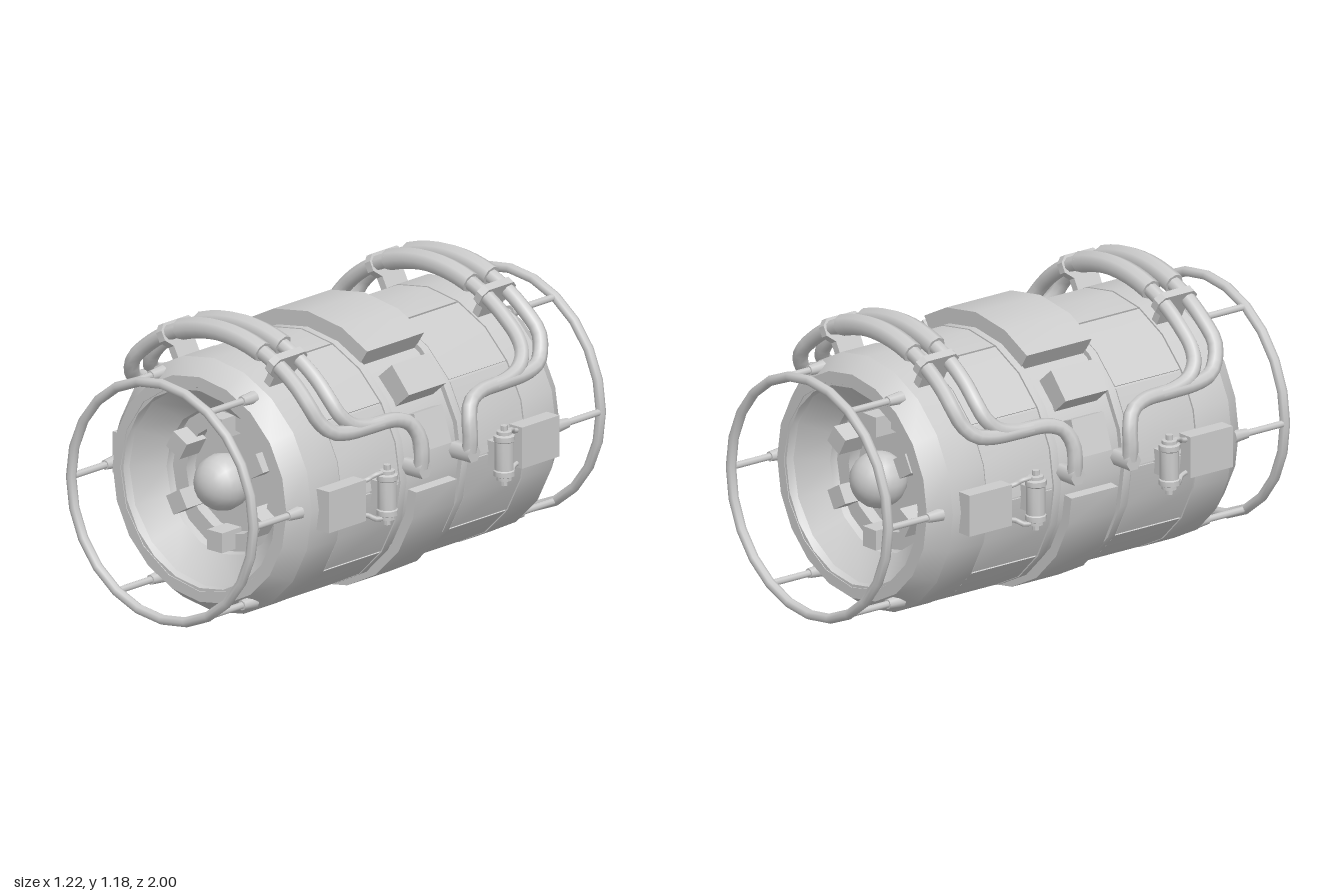
import * as THREE from 'three';
import { toCreasedNormals } from 'three/addons/utils/BufferGeometryUtils.js';

const mat = new THREE.MeshStandardMaterial({ color: 0xcccccc });
const SIDES = 20, STEP = (Math.PI * 2) / SIDES, DEG = Math.PI / 180;

function add(parent, name, geo, x = 0, y = 0, z = 0) {
  const m = new THREE.Mesh(geo, mat);
  m.name = name;
  m.position.set(x, y, z);
  parent.add(m);
  return m;
}

// Lathe turned so that its axis runs along z; profile points are [radius, z]
function latheZ(profile, sides) {
  const g = new THREE.LatheGeometry(profile.map(p => new THREE.Vector2(...p)), sides);
  g.rotateX(Math.PI / 2);
  return toCreasedNormals(g, 0.45);
}

// Curved plate following the faceted hull, angles measured from the top
function arcPlate(r0, r1, a0, a1, z0, z1) {
  const angles = [a0];
  for (let k = Math.ceil(a0 / STEP + 1e-4); k * STEP < a1 - 1e-4; k++) angles.push(k * STEP);
  angles.push(a1);
  const at = (r, a) => {
    const d = a - (Math.floor(a / STEP + 1e-6) + 0.5) * STEP;
    const q = r * Math.cos(STEP / 2) / Math.cos(d);
    return new THREE.Vector2(q * Math.sin(a), q * Math.cos(a));
  };
  const pts = [...angles.map(a => at(r1, a)), ...angles.reverse().map(a => at(r0, a))];
  const g = new THREE.ExtrudeGeometry(new THREE.Shape(pts), { depth: z1 - z0, bevelEnabled: false });
  return toCreasedNormals(g.translate(0, 0, z0), 0.45);
}

// Box set around the axis: width tangential, height radial
function polarBox(parent, name, r, a, w, h, d, z) {
  const m = add(parent, name, new THREE.BoxGeometry(w, h, d), r * Math.sin(a), r * Math.cos(a), z);
  m.rotation.z = -a;
  return m;
}

const cylZ = (r0, r1, len, n = 8) => new THREE.CylinderGeometry(r0, r1, len, n).rotateX(Math.PI / 2);
const arcPoint = (r, deg, z) => new THREE.Vector3(r * Math.sin(deg * DEG), r * Math.cos(deg * DEG), z);
const mirrorX = p => new THREE.Vector3(-p.x, p.y, p.z);

// Tube over the top: half is listed from the top down one side, then mirrored
function hoop(half, radius, segs) {
  const pts = [...half.slice(1).reverse().map(mirrorX), ...half];
  return new THREE.TubeGeometry(new THREE.CatmullRomCurve3(pts, false, 'centripetal'), segs, radius, 8);
}

function buildSideUnit(end, s) {
  // Side housing with a canister held by two arms
  add(end, 'sideHousing', new THREE.BoxGeometry(0.12, 0.165, 0.21), s * 0.5, 0, 0.545);
  const can = [[0, -0.12], [0.014, -0.12], [0.014, -0.1], [0.03, -0.098], [0.03, -0.085], [0.042, -0.08],
    [0.042, -0.06], [0.037, -0.056], [0.037, 0.056], [0.042, 0.06], [0.042, 0.08], [0.03, 0.085],
    [0.03, 0.098], [0.014, 0.1], [0.014, 0.12], [0, 0.12]].map(p => new THREE.Vector2(...p));
  add(end, 'canister', toCreasedNormals(new THREE.LatheGeometry(can, 10), 0.7), s * 0.568, 0, 0.33);
  for (const y of [-0.09, 0.09]) {
    const arm = new THREE.CatmullRomCurve3([[0.568, y, 0.33], [0.56, y, 0.38], [0.54, y * 0.8, 0.41], [0.53, y * 0.7, 0.46]]
      .map(p => new THREE.Vector3(s * p[0], p[1], p[2])));
    add(end, 'canisterArm', new THREE.TubeGeometry(arm, 8, 0.01, 6));
  }
  add(end, 'canisterMount', new THREE.BoxGeometry(0.08, 0.1, 0.04), s * 0.51, 0, 0.33);
  // Pipe fitting entering the hull
  const fit = add(end, 'pipeFitting', new THREE.CylinderGeometry(0.036, 0.036, 0.1, 6), s * 0.54, 0.055, 0.137);
  fit.rotation.z = Math.PI / 2;
}

function buildEnd() {
  const end = new THREE.Group();

  // Recessed mouth, hub and blocks
  add(end, 'mouth', latheZ([[0.408, 0.772], [0.395, 0.735], [0.29, 0.64], [0.285, 0.61],
    [0.215, 0.61], [0.215, 0.56], [0, 0.56]], 16));
  add(end, 'hubDome', new THREE.SphereGeometry(0.112, 16, 12).rotateX(Math.PI / 2), 0, 0, 0.64);
  for (let i = 0; i < 6; i++) polarBox(end, 'hubBlock', 0.228, i * 60 * DEG, 0.078, 0.08, 0.11, 0.63);

  // Guard ring on six struts
  add(end, 'guardRing', new THREE.TorusGeometry(0.472, 0.02, 8, 24), 0, 0, 0.98);
  for (let i = 0; i < 6; i++) {
    const x = 0.472 * Math.cos(i * 60 * DEG), y = 0.472 * Math.sin(i * 60 * DEG);
    add(end, 'strut', cylZ(0.014, 0.014, 0.27), x, y, 0.845);
    add(end, 'strutBase', cylZ(0.02, 0.027, 0.07), x, y, 0.755);
  }

  // Two hoop pipes per end; the inner one merges into the outer one at the sides
  const tail = [[0.485, 0.34, 0.625], [0.51, 0.295, 0.58], [0.52, 0.277, 0.5], [0.522, 0.273, 0.38], [0.525, 0.268, 0.24],
    [0.54, 0.24, 0.17], [0.562, 0.18, 0.14], [0.57, 0.11, 0.137], [0.565, 0.06, 0.137]];
  const merge = [[0.49, 0.345, 0.515], [0.51, 0.3, 0.47], [0.52, 0.277, 0.39], [0.522, 0.272, 0.32]];
  for (const [z, rest] of [[0.645, tail], [0.53, merge]]) {
    const half = [0, 10, 20, 30, 40, 49].map(a => arcPoint(0.605, a, z));
    half.push(...rest.map(p => new THREE.Vector3(...p)));
    add(end, 'hoopPipe', hoop(half, 0.03, 72));
    // Sleeve with closed ends
    add(end, 'pipeSleeve', hoop([0, 5, 10, 15, 20].map(a => arcPoint(0.605, a, z)), 0.042, 8));
    for (const s of [-1, 1]) {
      const cap = add(end, 'sleeveEnd', new THREE.CylinderGeometry(0.042, 0.042, 0.012, 8));
      cap.position.copy(arcPoint(0.605, 20 * s, z));
      cap.rotation.z = Math.PI / 2 - 20 * s * DEG;
    }
  }

  // Clamps: rounded plates strapped round both pipes, standing on the hull
  const clamp = new THREE.Shape();
  clamp.moveTo(-0.06, 0.48).lineTo(0.06, 0.48).lineTo(0.06, 0.55).lineTo(0.095, 0.58).lineTo(0.095, 0.62)
    .lineTo(0.07, 0.645).lineTo(-0.07, 0.645).lineTo(-0.095, 0.62).lineTo(-0.095, 0.58).lineTo(-0.06, 0.55);
  const clampGeo = new THREE.ExtrudeGeometry(clamp, { depth: 0.032, bevelEnabled: false });
  clampGeo.translate(0, 0, -0.016).rotateY(Math.PI / 2);
  for (const s of [-1, 1]) {
    add(end, 'pipeClamp', clampGeo, 0, 0, 0.588).rotation.z = -s * 28 * DEG;
    buildSideUnit(end, s);
  }

  // Raised hull panels separated by narrow seams
  for (let i = 0; i < 10; i++) {
    const a = (i * 36 - 18) * DEG, gap = 0.5 * DEG;
    add(end, 'hullPanel', arcPlate(0.48, 0.506, a + gap, a + 36 * DEG - gap, 0.195, 0.515));
  }
  return end;
}

export function createModel() {
  const root = new THREE.Group();
  root.name = 'engineModule';
  const core = new THREE.Group();
  core.name = 'core';
  core.position.y = 0.53;
  root.add(core);

  // Hull with a central groove and chamfered ends
  const half = [[0.487, 0.155], [0.508, 0.155], [0.508, 0.19], [0.498, 0.19], [0.498, 0.52],
    [0.508, 0.52], [0.508, 0.69], [0.45, 0.77], [0.395, 0.77]];
  add(core, 'hull', latheZ([...half.map(([r, z]) => [r, -z]).reverse(), ...half], SIDES));

  // Central belly band and top cover
  add(core, 'bellyBand', arcPlate(0.46, 0.53, 96 * DEG, 264 * DEG, -0.115, 0.115));
  add(core, 'topCover', arcPlate(0.47, 0.57, -33 * DEG, 33 * DEG, -0.16, 0.16));
  for (const s of [-1, 1]) {
    polarBox(core, 'shoulderBox', 0.52, s * 49 * DEG, 0.135, 0.1, 0.21, 0);
    polarBox(core, 'sideBox', 0.49, s * 71 * DEG, 0.15, 0.08, 0.16, 0);
  }

  // Matching front and back ends
  for (const [name, turn] of [['frontEnd', 0], ['backEnd', Math.PI]]) {
    const end = buildEnd();
    end.name = name;
    end.rotation.y = turn;
    core.add(end);
  }
  return root;
}
